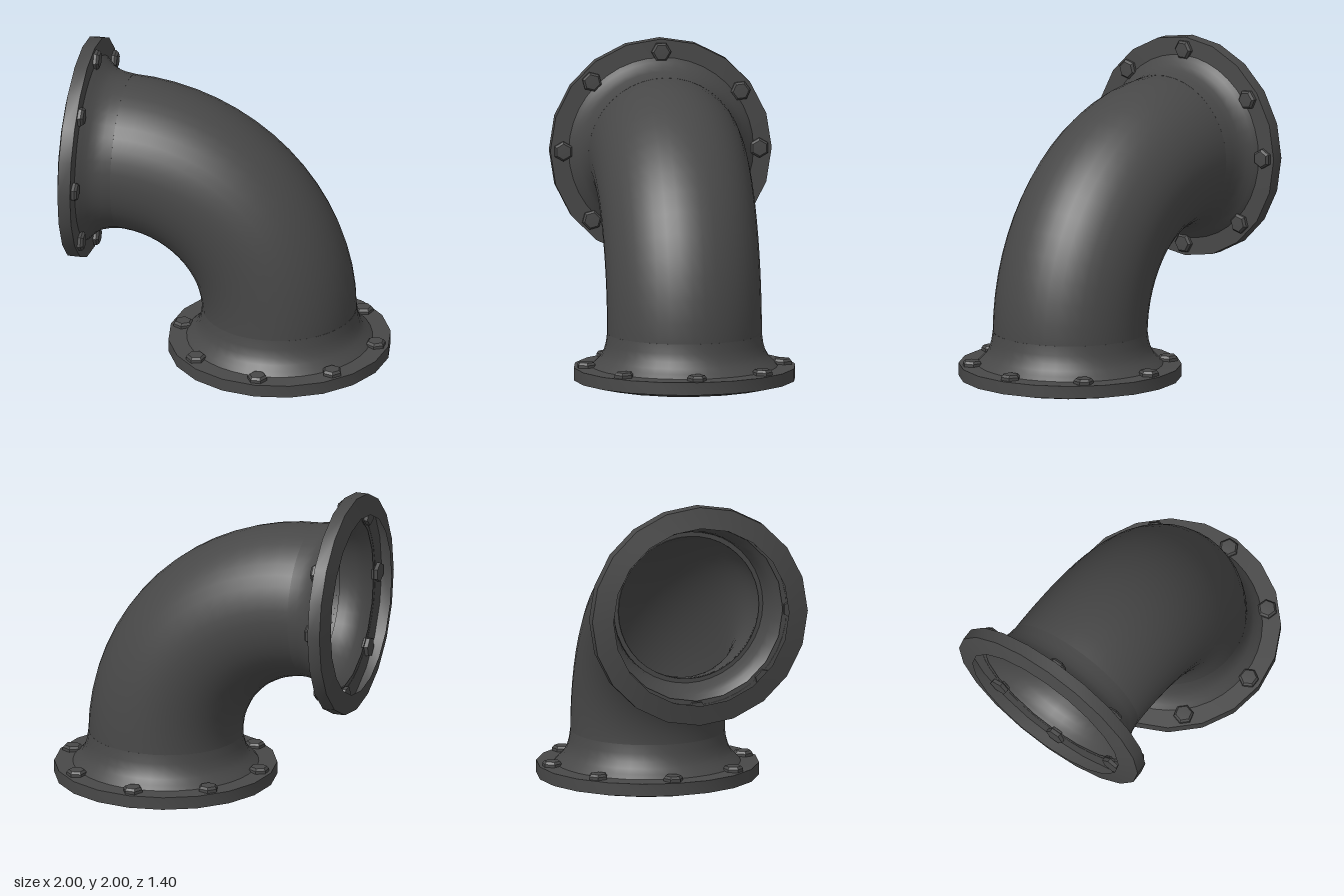
import * as THREE from 'three';
import { toCreasedNormals } from 'three/addons/utils/BufferGeometryUtils.js';

const material = new THREE.MeshStandardMaterial({ color: 0x484848, side: THREE.DoubleSide });

function addPart(parent, name, geometry) {
  const mesh = new THREE.Mesh(geometry, material);
  mesh.name = name;
  parent.add(mesh);
  return mesh;
}

function lathe(profile, segments) {
  const points = profile.map(([r, y]) => new THREE.Vector2(r, y));
  return toCreasedNormals(new THREE.LatheGeometry(points, segments), 0.6);
}

// Flange standing on y = 0 with its collar pointing up; bolt angles in degrees
function makeFlange(name, boltAngles) {
  const flange = new THREE.Group();
  flange.name = name;

  // Hollow 20-sided rim with a shallow bevelled face
  const rim = lathe([[0.57, 0], [0.7, 0.03], [0.7, 0.11], [0.56, 0.115]], 20);
  addPart(flange, 'flangeRim', rim);

  // Flared collar blending into the pipe, ending in a small inner lip
  const collar = lathe([[0.585, 0.113], [0.56, 0.14], [0.53, 0.17], [0.508, 0.21],
    [0.494, 0.26], [0.486, 0.32], [0.455, 0.32]], 40);
  addPart(flange, 'flangeCollar', collar);

  // Hex bolts: straight shank through the plate, chamfered head
  const bolt = toCreasedNormals(new THREE.LatheGeometry([
    [0, 0.09], [0.063, 0.09], [0.063, 0.13], [0.05, 0.145], [0, 0.147],
  ].map(([r, y]) => new THREE.Vector2(r, y)), 6), 0.2);
  for (const degrees of boltAngles) {
    const a = THREE.MathUtils.degToRad(degrees);
    const mesh = addPart(flange, 'bolt', bolt);
    mesh.position.set(0.62 * Math.cos(a), 0, 0.62 * Math.sin(a));
    mesh.rotation.y = -a;
  }
  return flange;
}

export function createModel() {
  const model = new THREE.Group();
  model.name = 'pipeElbow';

  // Quarter-turn pipe with an outer and an inner wall
  for (const [name, radius] of [['elbowOuterWall', 0.486], ['elbowInnerWall', 0.455]]) {
    const wall = addPart(model, name, new THREE.TorusGeometry(1, radius, 40, 16, Math.PI / 2));
    wall.position.set(-0.7, 0.3, 0);
  }

  const bottom = makeFlange('bottomFlange', [0, 45, 90, 135, 180, 225, 270, 315]);
  bottom.position.set(0.3, 0, 0);
  model.add(bottom);

  // Side flange turned to open toward -x; one bolt sits slightly off the even spacing
  const side = makeFlange('sideFlange', [0, 45, 90, 135, 180, 234, 270, 315]);
  side.rotation.z = -Math.PI / 2;
  side.position.set(-1, 1.3, 0);
  model.add(side);

  return model;
}
